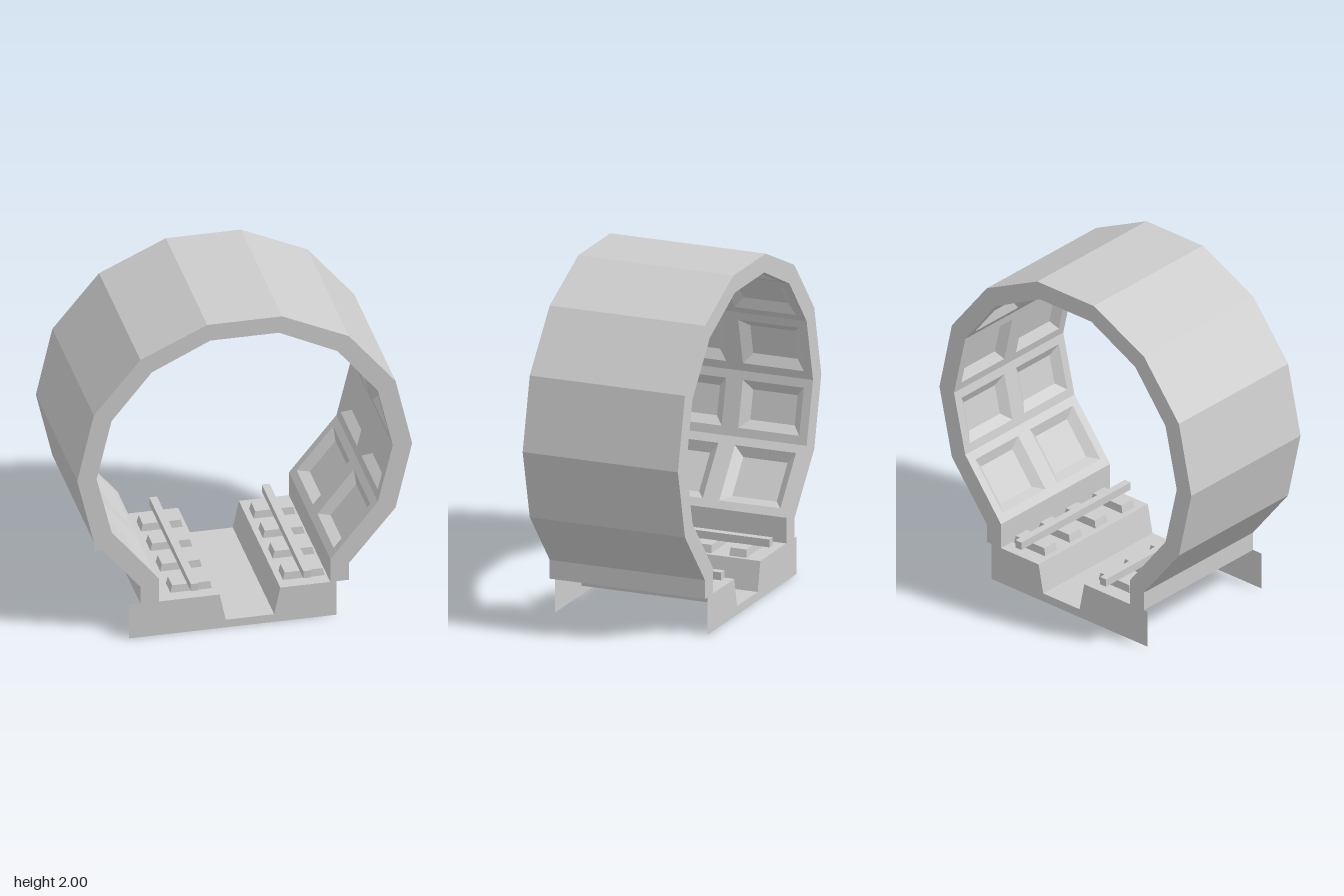
import * as THREE from 'three';

const HALF = 0.467;            // half length of the tunnel piece
const SHEAR = 0.0375;          // sideways drift along z
const DECK = 0.22, TROUGH = 0.05;
const TRACK_X = 0.035, GAUGE = 0.32;

const material = new THREE.MeshStandardMaterial({ color: 0xcccccc, flatShading: true, side: THREE.DoubleSide });

// Half profiles from leg foot to crown, mirrored into full arches
const mirror = half => [...half.map(([x, y]) => [-x, y]), ...half.slice().reverse()];
const outer = mirror([[0.593, DECK], [0.593, 0.33], [0.858, 0.66], [0.952, 1.07], [0.858, 1.49], [0.593, 1.82], [0.213, 2]]);
const inner = mirror([[0.487, DECK], [0.487, 0.37], [0.757, 0.71], [0.842, 1.07], [0.757, 1.44], [0.528, 1.73], [0.195, 1.895]]);

const shear = geo => geo.applyMatrix4(new THREE.Matrix4().set(
  1, 0, SHEAR, 0, 0, 1, 0, 0, 0, 0, 1, 0, 0, 0, 0, 1));

function addMesh(parent, name, geo) {
  const mesh = new THREE.Mesh(geo, material);
  mesh.name = name;
  parent.add(mesh);
  return mesh;
}

// Geometry from a list of four-cornered faces
function fromQuads(quads) {
  const pos = [];
  for (const [a, b, c, d] of quads) pos.push(...a, ...b, ...c, ...a, ...c, ...d);
  const geo = new THREE.BufferGeometry();
  geo.setAttribute('position', new THREE.Float32BufferAttribute(pos, 3));
  geo.computeVertexNormals();
  return geo;
}

// Straight strip between two profile points, running along z
const strip = (p, q) => [[...p, -HALF], [...q, -HALF], [...q, HALF], [...p, HALF]];

// One wall facet half with a bevelled, sunken square
function coffer(p, q, z0, z1) {
  const dx = q[0] - p[0], dy = q[1] - p[1], len = Math.hypot(dx, dy);
  const rect = (inset, depth) => {
    const s = inset / len;
    const at = (t, z) => [p[0] + dx * t - dy / len * depth, p[1] + dy * t + dx / len * depth, z];
    return [at(s, z0 + inset), at(1 - s, z0 + inset), at(1 - s, z1 - inset), at(s, z1 - inset)];
  };
  const rings = [rect(0, 0), rect(0.05, 0), rect(0.1, 0.04)];
  const quads = [rings[2]];
  for (let r = 0; r < 2; r++)
    for (let i = 0; i < 4; i++) {
      const j = (i + 1) % 4;
      quads.push([rings[r][i], rings[r][j], rings[r + 1][j], rings[r + 1][i]]);
    }
  return quads;
}

function buildShell(group) {
  const skin = [], ends = [], lining = [];
  const last = outer.length - 1;
  for (let i = 0; i < last; i++) {
    skin.push(strip(outer[i], outer[i + 1]).reverse());
    for (const z of [-HALF, HALF]) {
      const face = [outer[i], outer[i + 1], inner[i + 1], inner[i]].map(p => [...p, z]);
      ends.push(z > 0 ? face.reverse() : face);
    }
    if (i === 0 || i === last - 1) lining.push(strip(inner[i], inner[i + 1]));
    else lining.push(...coffer(inner[i], inner[i + 1], -HALF, 0), ...coffer(inner[i], inner[i + 1], 0, HALF));
  }
  // undersides of the legs
  ends.push(strip(outer[0], inner[0]), strip(inner[last], outer[last]));
  addMesh(group, 'outerSkin', shear(fromQuads(skin)));
  addMesh(group, 'archEnds', shear(fromQuads(ends)));
  addMesh(group, 'cofferedLining', shear(fromQuads(lining)));
}

function buildFloor(group) {
  // Deck with a sunken trough
  const path = [[-0.487, DECK], [-0.1425, DECK], [-0.1075, TROUGH], [0.1675, TROUGH], [0.2025, DECK], [0.487, DECK]];
  const quads = path.slice(1).map((q, i) => strip(path[i], q).reverse());
  addMesh(group, 'deck', shear(fromQuads(quads)));

  // Flat closing plates at both ends
  for (const side of [1, -1]) {
    const shift = side * HALF * SHEAR;
    const pts = [[-0.64, 0], [0.54, 0], [0.54, DECK],
      ...path.slice(1, 5).reverse().map(([x, y]) => [x + shift, y]), [-0.64, DECK]];
    const plate = new THREE.ShapeGeometry(new THREE.Shape(pts.map(p => new THREE.Vector2(...p))));
    if (side < 0) plate.index.array.reverse();
    plate.computeVertexNormals();
    plate.translate(0, 0, side * HALF);
    addMesh(group, side > 0 ? 'frontPlate' : 'backPlate', plate);
  }
}

function buildTracks(group) {
  for (const side of [-1, 1]) {
    const track = new THREE.Group();
    track.name = side < 0 ? 'rightTrack' : 'leftTrack';
    group.add(track);
    const x = TRACK_X + side * GAUGE;
    addMesh(track, 'rail', shear(new THREE.BoxGeometry(0.044, 0.046, 2 * HALF).translate(x, 0.287, 0)));
    for (const z of [0.34, 0.11, -0.11, -0.32]) {
      const tie = new THREE.BoxGeometry(0.24, 0.053, 0.105);
      const p = tie.attributes.position;
      // taper the top
      for (let i = 0; i < p.count; i++)
        if (p.getY(i) > 0) p.setXYZ(i, p.getX(i) * 0.9, p.getY(i), p.getZ(i) * 0.9);
      addMesh(track, 'sleeper', shear(tie.translate(x, 0.2385, z)));
    }
  }
}

function buildLamps(group) {
  // Square flared lamp with a hollow face, opening towards local +y
  const r = Math.SQRT1_2;
  const profile = [[0, -0.03], [0.075, -0.03], [0.075, 0], [0.14, 0.034], [0.14, 0.042], [0.1, 0.042], [0.05, 0.015], [0, 0.025]]
    .map(([w, y]) => new THREE.Vector2(w * r, y));
  for (const side of [-1, 1]) {
    const geo = new THREE.LatheGeometry(profile, 4).rotateY(Math.PI / 4);
    geo.rotateZ(side * (Math.PI - 0.7)).translate(side * 0.511, 1.711, 0);
    addMesh(group, side < 0 ? 'rightLamp' : 'leftLamp', shear(geo));
  }
}

export function createModel() {
  const group = new THREE.Group();
  group.name = 'tunnelSection';
  buildShell(group);
  buildFloor(group);
  buildTracks(group);
  buildLamps(group);
  return group;
}
